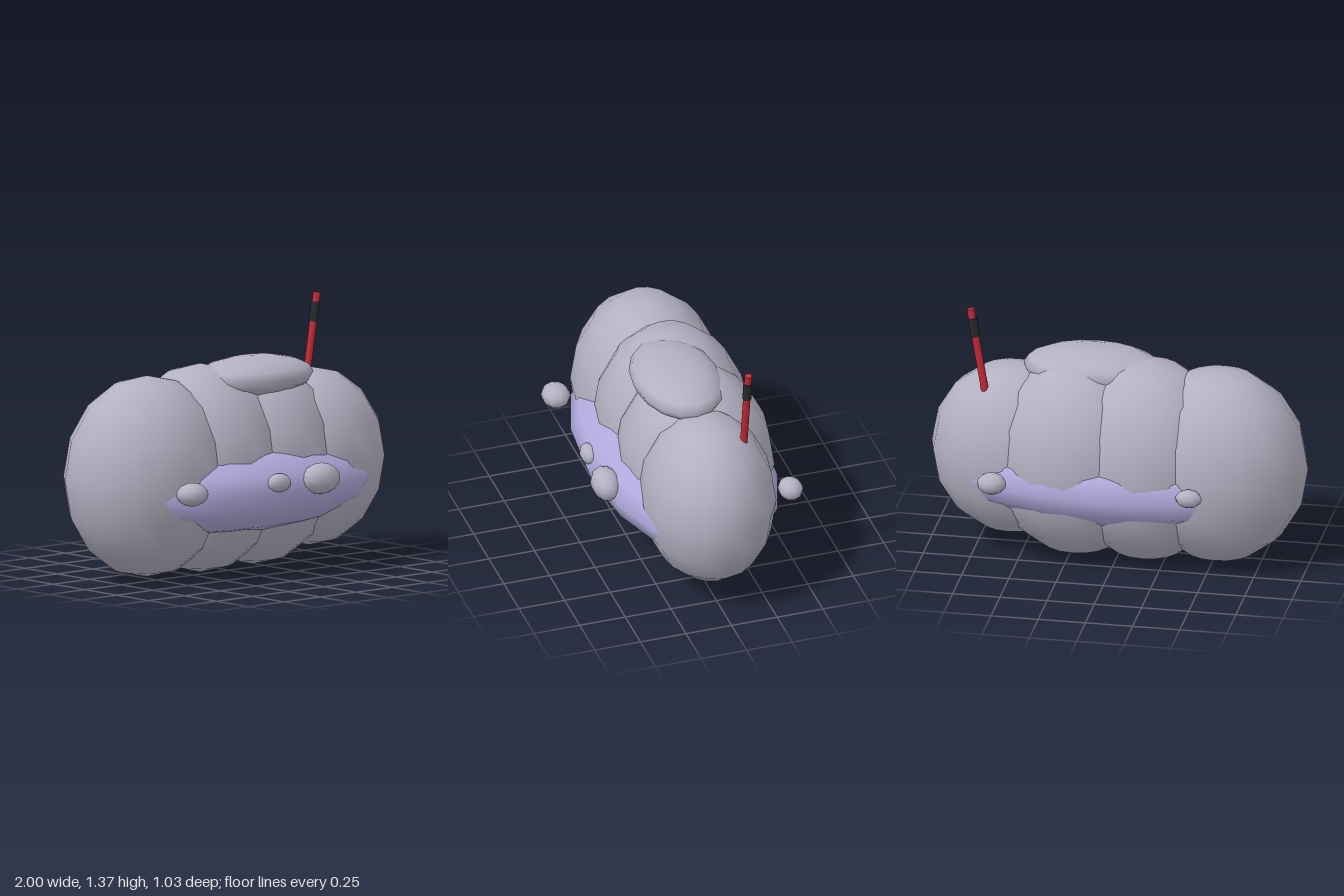
import * as THREE from 'three';

const mat = (name, color) => {
  const m = new THREE.MeshStandardMaterial({ color });
  m.name = name;
  return m;
};

export function createModel() {
  const group = new THREE.Group();
  const grey = mat('lilac grey', 0xb3b1c2);
  const lavender = mat('lavender', 0xb0aadc);
  const red = mat('red', 0xc42a38);
  const dark = mat('charcoal', 0x2a2a2e);

  // Stretched sphere: centre, radii and facet counts
  const blob = (name, material, pos, radii, w = 16, h = 8) => {
    const geo = new THREE.SphereGeometry(1, w, h);
    geo.scale(...radii);
    const mesh = new THREE.Mesh(geo, material);
    mesh.name = name;
    mesh.position.set(...pos);
    group.add(mesh);
  };

  // Four overlapping body lobes, from the right end to the left end
  [
    [[-0.53, 0.55, -0.045], [0.47, 0.53, 0.395]],
    [[-0.15, 0.555, -0.055], [0.47, 0.55, 0.41]],
    [[0.22, 0.55, -0.055], [0.47, 0.54, 0.41]],
    [[0.57, 0.55, -0.01], [0.43, 0.47, 0.35]],
  ].forEach(([pos, radii], i) => blob('bodyLobe' + (i + 1), grey, pos, radii));

  // Flat lump on top and the coloured belt swelling through the sides
  blob('topLump', grey, [0.15, 1.018, 0.022], [0.37, 0.108, 0.232]);
  blob('belt', lavender, [0, 0.463, -0.015], [0.97, 0.265, 0.48]);

  // Small knobs along the front and back
  [
    [[-0.63, 0.517, 0.425], [0.09, 0.062, 0.076]],
    [[-0.04, 0.52, 0.44], [0.075, 0.05, 0.045]],
    [[0.25, 0.515, 0.442], [0.117, 0.082, 0.076]],
    [[0.6, 0.517, -0.455], [0.078, 0.057, 0.065]],
    [[-0.445, 0.517, -0.465], [0.07, 0.048, 0.05]],
  ].forEach(([pos, radii], i) => blob('knob' + (i + 1), grey, pos, radii, 10, 8));

  // Leaning pole with a dark collar near its tip
  const pole = new THREE.Group();
  pole.name = 'pole';
  pole.position.set(0.687, 0.91, -0.17);
  pole.rotation.z = -0.165;
  const rod = (name, material, radius, from, to) => {
    const mesh = new THREE.Mesh(new THREE.CylinderGeometry(radius, radius, to - from, 10), material);
    mesh.name = name;
    mesh.position.y = (from + to) / 2;
    pole.add(mesh);
  };
  rod('shaft', red, 0.02, 0, 0.47);
  rod('collar', dark, 0.024, 0.315, 0.42);
  group.add(pole);

  return group;
}
